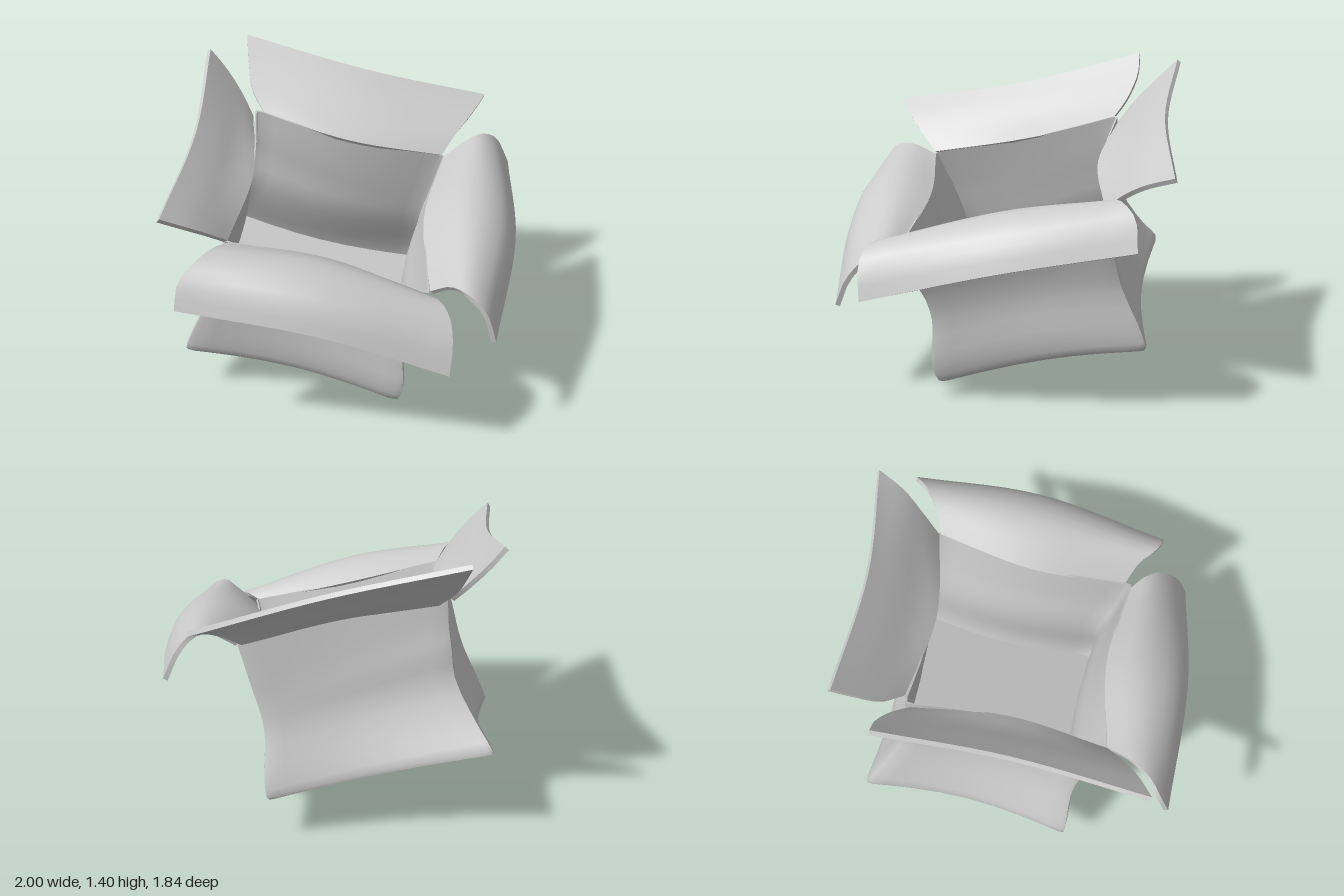
import * as THREE from 'three';
import { toCreasedNormals } from 'three/addons/utils/BufferGeometryUtils.js';

const curve = (pts) => new THREE.CatmullRomCurve3(pts.map((p) => (p.isVector3 ? p : new THREE.Vector3(...p))));

// Skin rows of points (columns run right, rows run up, seen from outside)
function skin(rows, closed, crease) {
  const pos = [];
  const tri = (a, b, c) => {
    const area = b.clone().sub(a).cross(c.clone().sub(a)).length();
    if (area > 1e-8) pos.push(...a, ...b, ...c);
  };
  for (let j = 0; j + 1 < rows.length; j++) {
    const n = rows[j].length;
    for (let i = 0; i < (closed ? n : n - 1); i++) {
      const k = (i + 1) % n;
      tri(rows[j][i], rows[j][k], rows[j + 1][k]);
      tri(rows[j][i], rows[j + 1][k], rows[j + 1][i]);
    }
  }
  const g = new THREE.BufferGeometry();
  g.setAttribute('position', new THREE.Float32BufferAttribute(pos, 3));
  return toCreasedNormals(g, crease);
}

// Corner edges of the box from floor to rim: front, right, back, left
const corners = [
  [[0, -0.005, 0.445], [0, 0.1, 0.485], [0, 0.3, 0.475], [0, 0.43, 0.515], [0, 0.53, 0.58], [0, 0.7, 0.645]],
  [[0.7, 0.225, -0.25], [0.685, 0.33, -0.22], [0.63, 0.5, -0.165], [0.625, 0.6, -0.13], [0.64, 0.72, -0.09], [0.665, 0.92, -0.03]],
  [[-0.06, 0.47, -0.945], [-0.06, 0.58, -0.825], [-0.05, 0.75, -0.695], [-0.04, 0.9, -0.675], [-0.04, 1.0, -0.655], [-0.04, 1.14, -0.645]],
  [[-0.755, 0.23, -0.25], [-0.73, 0.33, -0.22], [-0.675, 0.5, -0.165], [-0.66, 0.6, -0.13], [-0.665, 0.72, -0.08], [-0.675, 0.92, 0.02]],
].map(curve);

// One ring round the box: sides bow inward, corners are rounded
function ring(t, scale) {
  const c = corners.map((k) => k.getPoint(t));
  const centre = c.reduce((s, p) => s.add(p), new THREE.Vector3()).multiplyScalar(0.25);
  const out = [];
  for (let k = 0; k < 4; k++) {
    for (const s of [0, 0.03, 0.09, 0.2, 0.35, 0.5, 0.65, 0.8, 0.91, 0.97]) {
      const p = c[k].clone().lerp(c[(k + 1) % 4], s);
      p.lerp(centre, s === 0 ? 0.018 : 0.11 * 4 * s * (1 - s));
      out.push(centre.clone().lerp(p, scale));
    }
  }
  return out;
}

function boxBody() {
  const levels = Array.from({ length: 12 }, (_, i) => (i + 1) / 12);
  const rows = [ring(0, 0), ring(0, 0.94), ring(0.0, 0.975), ring(0.025, 0.995)]; // rounded underside
  levels.forEach((t) => rows.push(ring(t, 1))); // outer wall
  levels.reverse().forEach((t) => rows.push(ring(t, 0.982))); // inner wall
  rows.push(ring(0.025, 0.975), ring(0.025, 0)); // inside floor
  return skin(rows, true, 1.0);
}

// Flap through three hinge-to-tip profiles, with a thin board thickness
function flapGeometry(profiles) {
  const NU = 14, NV = 10, half = 0.011;
  const lines = profiles.map(curve);
  const grid = [];
  for (let j = 0; j <= NV; j++) {
    const across = curve(lines.map((l) => l.getPoint(j / NV)));
    grid.push(Array.from({ length: NU + 1 }, (_, i) => across.getPoint(i / NU)));
  }
  const offset = (j, sign) => {
    const row = grid[j].map((p, i) => {
      const du = grid[j][Math.min(i + 1, NU)].clone().sub(grid[j][Math.max(i - 1, 0)]);
      const dv = grid[Math.min(j + 1, NV)][i].clone().sub(grid[Math.max(j - 1, 0)][i]);
      return p.clone().addScaledVector(du.cross(dv).normalize(), sign * half);
    });
    return [grid[j][0], ...row, grid[j][NU]]; // outermost columns close the ends
  };
  const rows = [];
  for (let j = 0; j <= NV; j++) rows.push(offset(j, 1));
  for (let j = NV; j >= 0; j--) rows.push(offset(j, -1));
  rows.push(rows[0]);
  return skin(rows, false, 0.7);
}

const flaps = {
  frontLeftFlap: [
    [[0.03, 0.69, 0.62], [0.06, 0.75, 0.72], [0.06, 0.76, 0.82], [0.1, 0.69, 0.895], [0.14, 0.54, 0.92]],
    [[0.285, 0.815, 0.265], [0.39, 0.9, 0.34], [0.48, 0.92, 0.41], [0.57, 0.84, 0.49], [0.61, 0.715, 0.525]],
    [[0.645, 0.91, -0.02], [0.74, 0.98, 0.02], [0.83, 1.0, 0.03], [0.925, 0.95, 0.03], [0.98, 0.82, 0.06]],
  ],
  backLeftFlap: [
    [[0.64, 0.92, -0.04], [0.75, 1.0, -0.06], [0.86, 1.06, -0.08], [0.99, 1.11, -0.13]],
    [[0.265, 1.01, -0.29], [0.34, 1.07, -0.34], [0.43, 1.17, -0.41], [0.52, 1.25, -0.47]],
    [[0.0, 1.11, -0.62], [0.0, 1.2, -0.72], [0.05, 1.31, -0.82], [0.1, 1.4, -0.9]],
  ],
  backRightFlap: [
    [[-0.07, 1.11, -0.63], [-0.07, 1.2, -0.72], [-0.1, 1.31, -0.81], [-0.15, 1.4, -0.86]],
    [[-0.31, 1.01, -0.28], [-0.38, 1.08, -0.33], [-0.45, 1.16, -0.37], [-0.53, 1.24, -0.41]],
    [[-0.66, 0.92, 0.02], [-0.76, 0.99, 0.03], [-0.87, 1.06, 0.03], [-0.99, 1.13, 0.01]],
  ],
  frontRightFlap: [
    [[-0.65, 0.905, 0.03], [-0.77, 0.94, 0.08], [-0.87, 0.925, 0.1], [-0.96, 0.86, 0.1], [-1.0, 0.74, 0.12]],
    [[-0.295, 0.815, 0.285], [-0.39, 0.87, 0.36], [-0.46, 0.86, 0.43], [-0.53, 0.78, 0.52], [-0.55, 0.655, 0.565]],
    [[-0.02, 0.69, 0.62], [-0.01, 0.7, 0.72], [-0.02, 0.66, 0.8], [-0.06, 0.57, 0.87], [-0.1, 0.45, 0.9]],
  ],
};

export function createModel() {
  const model = new THREE.Group();
  model.name = 'openBox';
  const material = new THREE.MeshStandardMaterial({ color: 0xcccccc });
  const add = (name, geometry) => {
    const mesh = new THREE.Mesh(geometry, material);
    mesh.name = name;
    model.add(mesh);
  };
  add('boxBody', boxBody());
  for (const [name, profiles] of Object.entries(flaps)) add(name, flapGeometry(profiles));
  return model;
}
